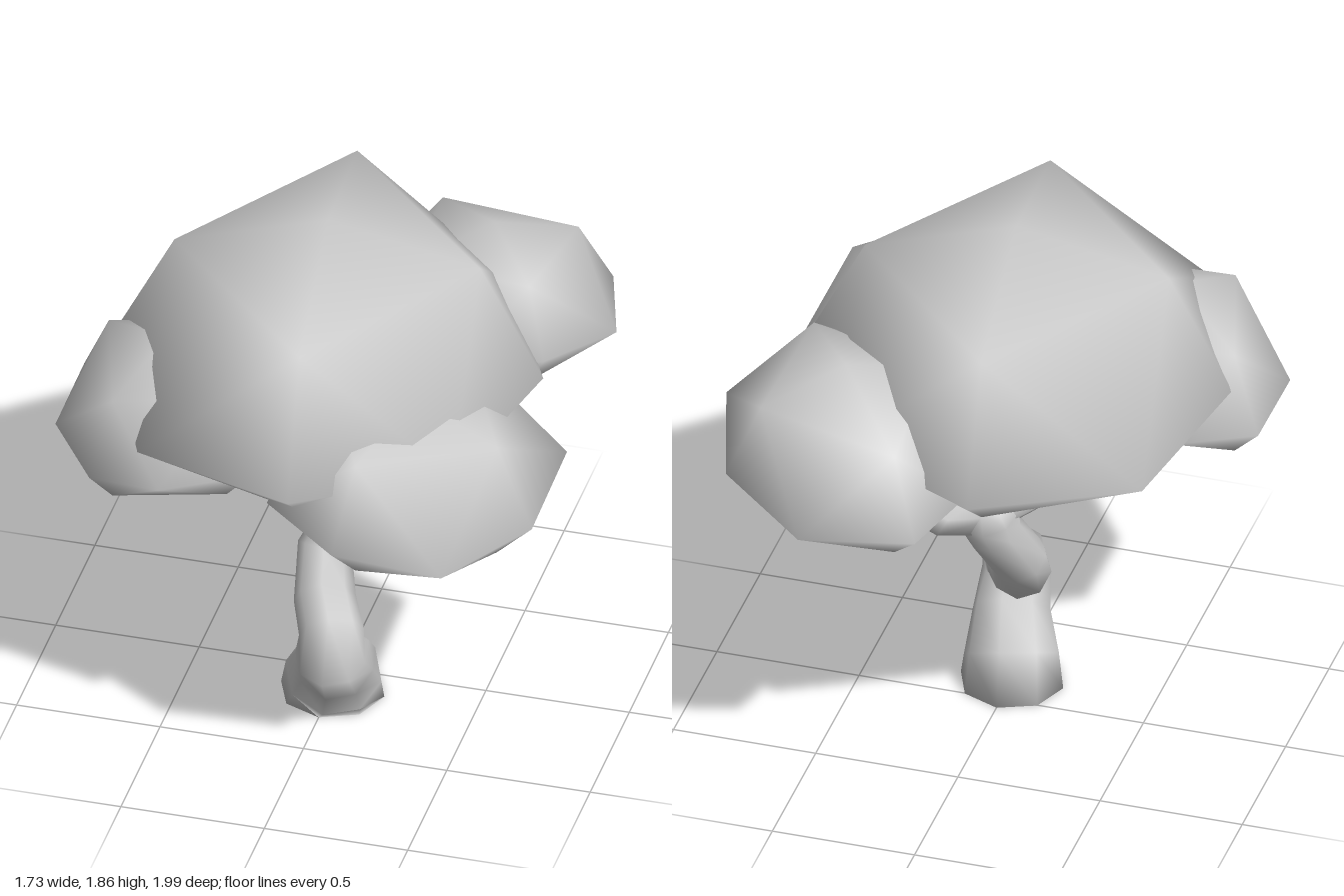
import * as THREE from 'three';
import { mergeVertices } from 'three/addons/utils/BufferGeometryUtils.js';

const material = new THREE.MeshStandardMaterial({ color: 0xcccccc });

// Weld the corners so the shading is smooth, and name the mesh
function smoothMesh(name, geometry) {
  geometry.deleteAttribute('normal');
  geometry.deleteAttribute('uv');
  const welded = mergeVertices(geometry, 1e-4);
  welded.computeVertexNormals();
  const mesh = new THREE.Mesh(welded, material);
  mesh.name = name;
  return mesh;
}

// Leaf clump: a once-divided octahedron moved onto an eight-point outline [x, z];
// heights run from the top point down to the bottom point, tilt slopes them in x and z
function clump(name, { centre: [cx, cz], outline, heights, tilt = [0, 0] }) {
  const geometry = new THREE.OctahedronGeometry(1, 1);
  const position = geometry.attributes.position;
  for (let i = 0; i < position.count; i++) {
    const x = position.getX(i), y = position.getY(i), z = position.getZ(i);
    const [ox, oz] = outline[(Math.round(Math.atan2(z, x) / (Math.PI / 4)) + 8) % 8];
    const spread = Math.hypot(x, z);
    const dx = (ox - cx) * spread, dz = (oz - cz) * spread;
    const height = heights[Math.round(2 - 2 * y)];
    position.setXYZ(i, cx + dx, height + dx * tilt[0] + dz * tilt[1], cz + dz);
  }
  return smoothMesh(name, geometry);
}

// Tapered limb through nodes [x, y, z, radius], closed at both ends
function limb(name, nodes, sides = 6) {
  const pts = nodes.map(([x, y, z]) => new THREE.Vector3(x, y, z));
  const last = pts.length - 1, rings = [], index = [];
  let u = null;
  pts.forEach((p, k) => {
    const t = pts[Math.min(k + 1, last)].clone().sub(pts[Math.max(k - 1, 0)]).normalize();
    if (p.y === 0) t.set(0, 1, 0); // flat on the ground
    if (!u) u = Math.abs(t.x) < 0.8 ? new THREE.Vector3(1, 0, 0) : new THREE.Vector3(0, 0, 1);
    u = u.clone().addScaledVector(t, -u.dot(t)).normalize();
    const v = t.clone().cross(u);
    for (let i = 0; i < sides; i++) {
      const a = (i / sides) * Math.PI * 2, r = nodes[k][3];
      rings.push(p.clone().addScaledVector(u, Math.cos(a) * r).addScaledVector(v, Math.sin(a) * r));
    }
  });
  const start = rings.length, end = start + 1;
  for (let i = 0; i < sides; i++) {
    const j = (i + 1) % sides, top = last * sides;
    for (let k = 0; k < last; k++) {
      const a = k * sides + i, b = k * sides + j;
      index.push(a, b, a + sides, b, b + sides, a + sides);
    }
    index.push(start, j, i, end, top + i, top + j);
  }
  const geometry = new THREE.BufferGeometry().setFromPoints([...rings, pts[0], pts[last]]);
  geometry.setIndex(index);
  return smoothMesh(name, geometry);
}

export function createModel() {
  const tree = new THREE.Group();
  tree.name = 'tree';

  // Twisted trunk ending in the fork
  tree.add(limb('trunk', [
    [0, 0, 0.125, 0.18], [0.01, 0.09, 0.15, 0.165], [0.04, 0.2, 0.25, 0.135],
    [0.055, 0.29, 0.36, 0.12], [0.05, 0.37, 0.325, 0.11], [-0.01, 0.41, 0.19, 0.105],
    [-0.04, 0.53, 0.075, 0.095], [0.03, 0.66, 0.025, 0.095],
    [0.045, 0.75, -0.01, 0.11], [0.05, 0.82, -0.03, 0.07],
  ], 8));

  // Main branches with their twigs
  const branches = new THREE.Group();
  branches.name = 'branches';
  const limbs = {
    frontBranch: [[0.05, 0.75, 0.03, 0.08], [0.13, 0.765, 0.2, 0.065], [0.2, 0.8, 0.41, 0.05], [0.21, 0.9, 0.48, 0.04], [0.22, 1.05, 0.51, 0.025]],
    frontTwig: [[0.2, 0.82, 0.4, 0.04], [0.29, 0.93, 0.36, 0.035], [0.34, 1.08, 0.34, 0.02]],
    frontInnerTwig: [[0.17, 0.79, 0.3, 0.035], [0.17, 0.93, 0.25, 0.025], [0.15, 1.12, 0.2, 0.02]],
    backBranch: [[0.06, 0.75, 0.0, 0.09], [0.19, 0.79, -0.13, 0.075], [0.27, 0.88, -0.21, 0.06], [0.32, 0.98, -0.26, 0.045], [0.35, 1.16, -0.27, 0.03]],
    backTwig: [[0.31, 0.95, -0.25, 0.04], [0.38, 1.02, -0.36, 0.035], [0.42, 1.15, -0.5, 0.025]],
    backSideTwig: [[0.28, 0.89, -0.22, 0.035], [0.4, 1.02, -0.22, 0.03], [0.44, 1.15, -0.2, 0.02]],
    sideBranch: [[0.04, 0.76, 0.0, 0.085], [-0.06, 0.79, 0.07, 0.07], [-0.22, 0.86, 0.18, 0.055], [-0.38, 0.95, 0.3, 0.045], [-0.44, 1.12, 0.35, 0.025]],
    sideTwig: [[-0.28, 0.89, 0.22, 0.035], [-0.34, 1.01, 0.36, 0.028], [-0.37, 1.14, 0.42, 0.02]],
    middleTwig: [[-0.2, 0.85, 0.16, 0.04], [-0.22, 1.0, 0.18, 0.03], [-0.24, 1.15, 0.16, 0.02]],
    innerTwig: [[-0.06, 0.81, 0.04, 0.045], [-0.13, 0.95, 0.0, 0.035], [-0.19, 1.16, -0.08, 0.022]],
  };
  for (const [name, nodes] of Object.entries(limbs)) branches.add(limb(name, nodes));
  tree.add(branches);

  // Canopy: one broad crown with three lower clumps
  const canopy = new THREE.Group();
  canopy.name = 'canopy';
  canopy.add(
    clump('crown', {
      centre: [-0.03, 0.075],
      outline: [[0.7, 0], [0.56, 0.65], [0.07, 0.96], [-0.5, 0.79], [-0.77, 0.14], [-0.66, -0.54], [-0.13, -0.82], [0.42, -0.56]],
      heights: [1.86, 1.72, 1.3, 1.1, 1.07],
    }),
    clump('frontClump', {
      centre: [0.38, 0.48],
      outline: [[0.81, 0.55], [0.6, 0.94], [0.23, 0.99], [-0.04, 0.82], [-0.05, 0.4], [0.15, 0.03], [0.5, -0.07], [0.81, 0.1]],
      heights: [1.48, 1.41, 1.14, 0.99, 0.98],
      tilt: [-0.17, -0.05],
    }),
    clump('backClump', {
      centre: [0.4, -0.48],
      outline: [[0.68, -0.08], [0.39, 0.04], [0.06, -0.21], [-0.07, -0.6], [0.03, -0.9], [0.41, -1], [0.74, -0.75], [0.86, -0.35]],
      heights: [1.57, 1.48, 1.25, 1.1, 1.1],
      tilt: [0.05, 0.12],
    }),
    clump('sideClump', {
      centre: [-0.5, 0.4],
      outline: [[-0.13, 0.69], [-0.42, 0.82], [-0.67, 0.78], [-0.87, 0.48], [-0.87, 0.11], [-0.62, -0.06], [-0.33, 0.02], [-0.16, 0.32]],
      heights: [1.52, 1.42, 1.18, 1.04, 1.04],
      tilt: [0.08, -0.02],
    }),
  );
  tree.add(canopy);
  return tree;
}
